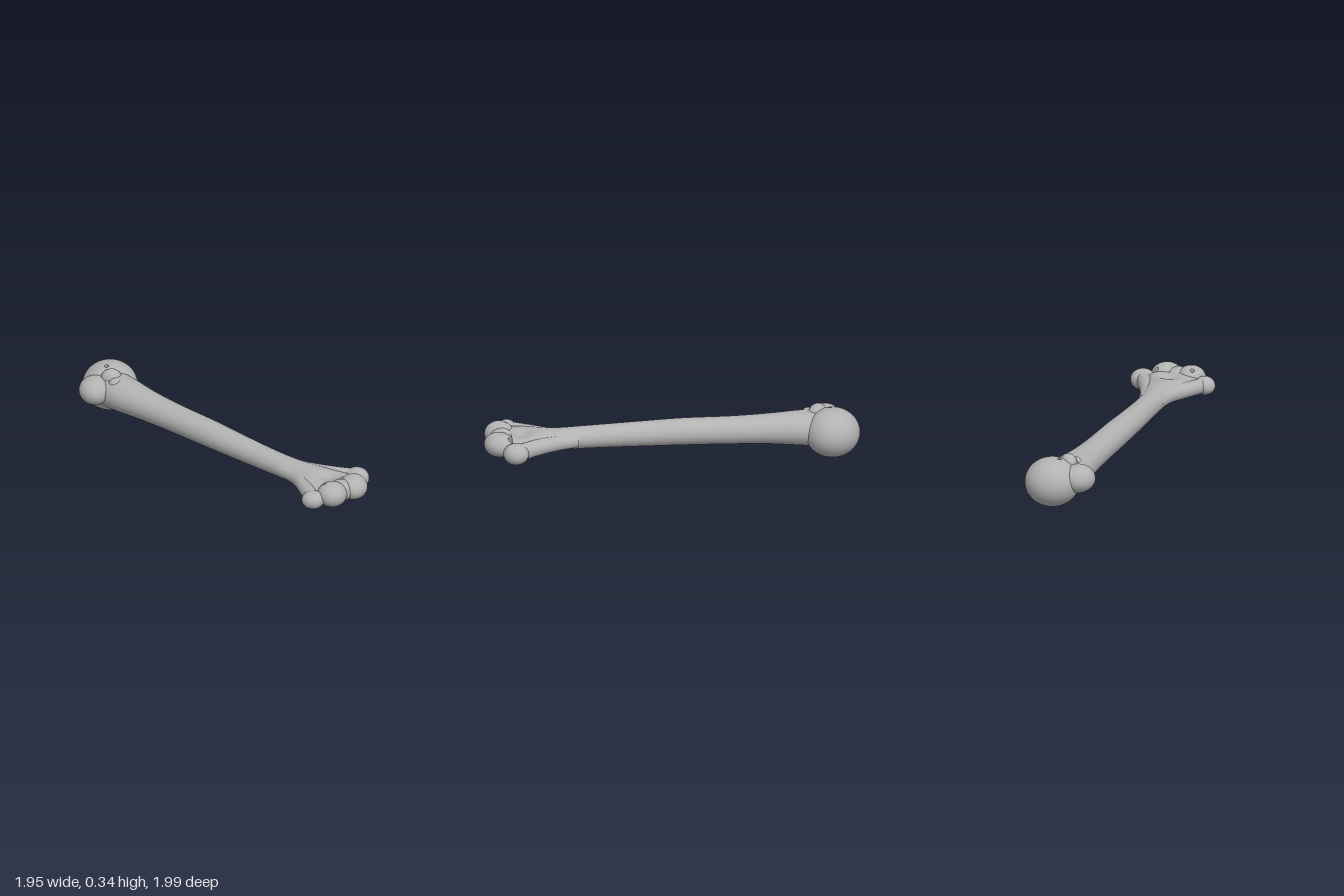
import * as THREE from 'three';

const bone = new THREE.MeshStandardMaterial({ color: 0xb2b2b2 });
bone.name = 'bone grey';

// Skin strips of closed rings; strips do not share vertices, so edges between them stay crisp
function skin(strips) {
  const pos = [], idx = [];
  for (const rings of strips) {
    const base = pos.length / 3, n = rings[0].length;
    rings.forEach((ring) => ring.forEach((p) => pos.push(...p)));
    for (let i = 0; i < rings.length - 1; i++) {
      for (let j = 0; j < n; j++) {
        const a = base + i * n + j, b = base + i * n + (j + 1) % n;
        idx.push(a, b, a + n, b, b + n, a + n);
      }
    }
  }
  const g = new THREE.BufferGeometry();
  g.setAttribute('position', new THREE.Float32BufferAttribute(pos, 3));
  g.setIndex(idx);
  g.computeVertexNormals();
  return g;
}

const circle = (n, fn) => Array.from({ length: n }, (_, j) => fn((j / n) * Math.PI * 2));

// Loft of elliptical sections along x: [x, z centre, z half, y centre, y half]
function loft(sections, steps, squeeze = () => 1) {
  const plan = new THREE.CatmullRomCurve3(sections.map((s) => new THREE.Vector3(s[0], s[1], s[2])));
  const side = new THREE.CatmullRomCurve3(sections.map((s) => new THREE.Vector3(s[0], s[3], s[4])));
  const rings = [];
  for (let i = 0; i <= steps; i++) {
    const p = plan.getPoint(i / steps), q = side.getPoint(i / steps);
    rings.push(circle(56, (a) => {
      const z = p.y + p.z * Math.cos(a);
      return [p.x, q.y - q.z * Math.sin(a) * squeeze(p.x, z), z];
    }));
  }
  const hub = (s, ring) => ring.map(() => [s[0], s[3], s[1]]);
  const first = rings[0], last = rings[steps];
  return skin([
    [hub(sections[0], first), first],
    rings,
    [last, hub(sections[sections.length - 1], last)],
  ]);
}

// Ellipsoid with a vertical hole through it at (hx, hz), measured from its centre
function drilledBall([rx, ry, rz], [hx, hz], hole) {
  const px = hx / rx, pz = hz / rz, rh = hole / rx, rows = 40;
  const rings = [];
  for (let i = 0; i <= rows; i++) {
    const u = (i / rows) * Math.PI;
    rings.push(circle(56, (a) => {
      const ex = Math.cos(a), ez = Math.sin(a), k = px * ex + pz * ez;
      const reach = Math.sqrt(k * k + 1 - px * px - pz * pz) - k;
      const d = rh + (reach - rh) * Math.sin(u);
      const x = px + d * ex, z = pz + d * ez;
      const y = Math.sign(Math.cos(u)) * Math.sqrt(Math.max(0, 1 - x * x - z * z));
      return [x * rx, y * ry, z * rz];
    }));
  }
  return skin([rings, [rings[rows], rings[0]]]);
}

export function createModel() {
  const model = new THREE.Group();
  model.name = 'upperArmBone';

  const add = (name, geometry, at = [0, 0, 0]) => {
    const mesh = new THREE.Mesh(geometry, bone);
    mesh.name = name;
    mesh.position.set(...at);
    model.add(mesh);
    return mesh;
  };
  const ball = (name, at, radii) =>
    add(name, new THREE.SphereGeometry(1, 48, 32), at).scale.set(...radii);
  const drilled = (name, at, radii, [x, z]) =>
    add(name, drilledBall(radii, [x - at[0], z - at[2]], 0.014), at);
  // Long parts lie on the diagonal
  const diagonal = (name, geometry) => { add(name, geometry).rotation.y = -Math.PI / 4; };

  // Shaft widening into the flat lower end, hollowed on both faces
  const fossa = (x, z) => 1 - 0.4 * Math.exp(-(((x - 0.99) / 0.06) ** 2) - ((z / 0.07) ** 2));
  diagonal('shaft', loft([
    [-1.03, 0.02, 0.138, 0.185, 0.125],
    [-0.9, 0.026, 0.134, 0.187, 0.117],
    [-0.7, 0.033, 0.113, 0.187, 0.103],
    [-0.45, 0.036, 0.102, 0.187, 0.094],
    [-0.1, 0.039, 0.096, 0.19, 0.091],
    [0.2, 0.038, 0.088, 0.187, 0.084],
    [0.45, 0.034, 0.083, 0.185, 0.078],
    [0.62, 0.027, 0.087, 0.184, 0.074],
    [0.76, 0.015, 0.105, 0.184, 0.072],
    [0.92, 0.02, 0.165, 0.184, 0.07],
    [1.065, 0.02, 0.21, 0.184, 0.066],
  ], 110, fossa));

  // Ridges running out to the two side knobs
  diagonal('outerRidge', loft([
    [0.6, 0.07, 0.045, 0.183, 0.047],
    [0.77, 0.088, 0.048, 0.183, 0.05],
    [0.92, 0.155, 0.058, 0.183, 0.052],
    [1.07, 0.235, 0.055, 0.183, 0.052],
  ], 30));
  diagonal('innerRidge', loft([
    [0.61, -0.026, 0.045, 0.183, 0.047],
    [0.74, -0.056, 0.05, 0.183, 0.05],
    [0.89, -0.115, 0.057, 0.183, 0.055],
    [1.045, -0.2, 0.06, 0.18, 0.06],
  ], 30));

  // Upper end: head, knobs and the small bumps beside the groove
  drilled('head', [-0.762, 0.17, -0.813], [0.187, 0.168, 0.187], [-0.785, -0.77]);
  ball('greaterKnob', [-0.863, 0.203, -0.668], [0.112, 0.097, 0.118]);
  ball('lesserKnob', [-0.755, 0.285, -0.69], [0.07, 0.062, 0.056]);
  ball('grooveBump', [-0.725, 0.265, -0.625], [0.05, 0.045, 0.04]);

  // Lower end: side knobs and rounded joint surfaces
  ball('innerKnob', [0.885, 0.178, 0.6], [0.086, 0.072, 0.086]);
  ball('outerKnob', [0.588, 0.18, 0.925], [0.077, 0.063, 0.068]);
  drilled('innerJoint', [0.862, 0.197, 0.765], [0.096, 0.083, 0.108], [0.847, 0.68]);
  drilled('outerJoint', [0.718, 0.2, 0.882], [0.1, 0.085, 0.1], [0.665, 0.865]);
  ball('jointBridge', [0.775, 0.195, 0.815], [0.085, 0.074, 0.085]);

  return model;
}
